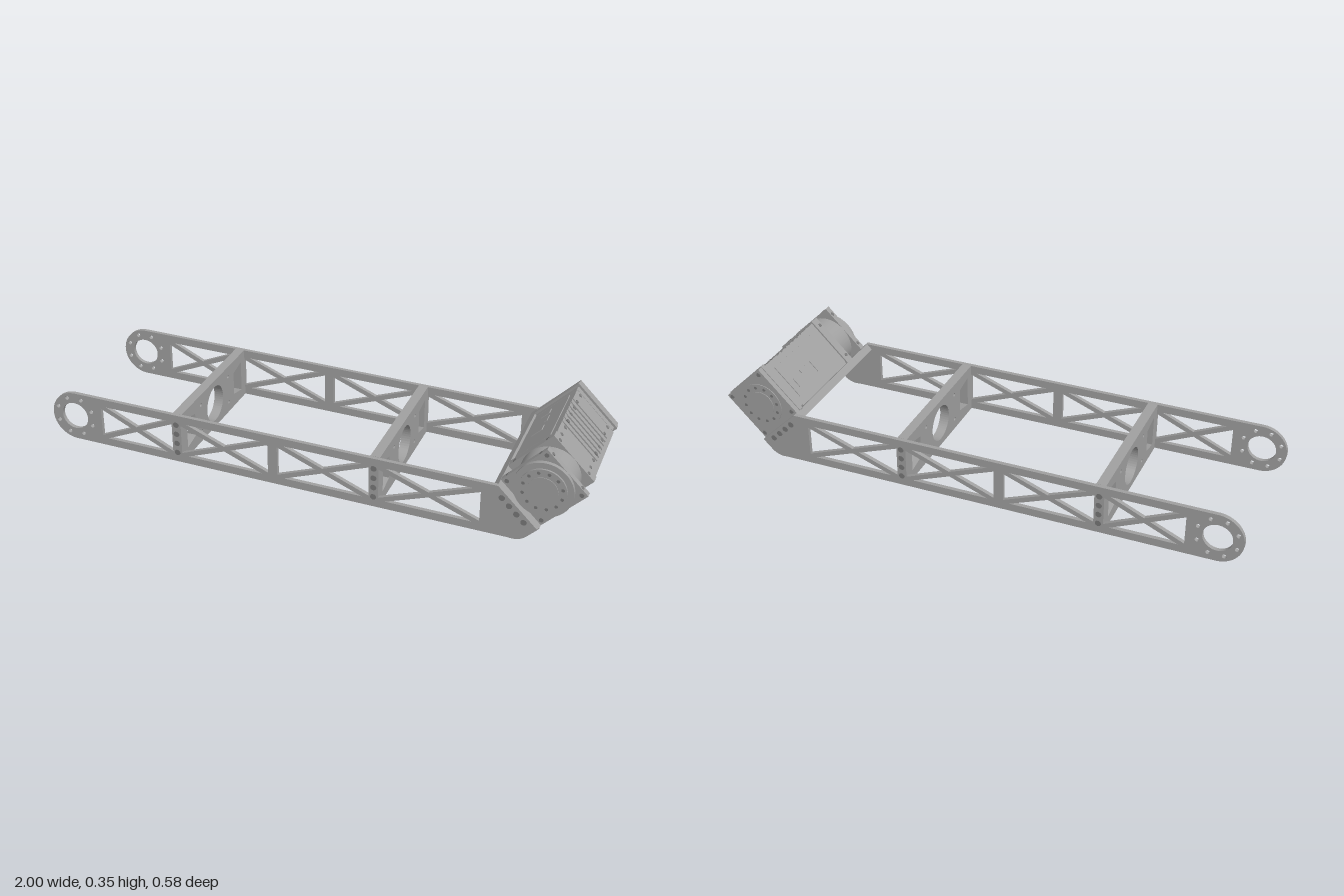
import * as THREE from 'three';

const frameMat = new THREE.MeshStandardMaterial({ color: 0xa0a0a0 });
frameMat.name = 'aluminium grey';
const screwMat = new THREE.MeshStandardMaterial({ color: 0x787878 });
screwMat.name = 'screw grey';

const PLATE_IN = 0.274, PLATE_OUT = 0.289;
const MOTOR = { x: 0.8515, y: 0.2035, half: 0.105 };
const topY = x => 0.24 - 0.0235 * (x + 0.9);
const bottomY = x => 0.05 - 0.0265 * (x + 0.92);
const posts = [-0.815, -0.49, -0.115, 0.265, 0.665];
const crossX = [-0.49, 0.265];

function add(parent, name, geometry, material = frameMat) {
  const m = new THREE.Mesh(geometry, material);
  m.name = name;
  parent.add(m);
  return m;
}

function box(parent, name, x0, x1, y0, y1, z0, z1) {
  const g = new THREE.BoxGeometry(x1 - x0, y1 - y0, z1 - z0);
  g.translate((x0 + x1) / 2, (y0 + y1) / 2, (z0 + z1) / 2);
  return add(parent, name, g);
}

// Cylinder along z between two depths
function disc(parent, name, x, y, r, z0, z1, material = frameMat, sides = 48) {
  const g = new THREE.CylinderGeometry(r, r, z1 - z0, sides);
  g.rotateX(Math.PI / 2);
  g.translate(x, y, (z0 + z1) / 2);
  return add(parent, name, g, material);
}

function circleHole(x, y, r) {
  return new THREE.Path().absarc(x, y, r, 0, Math.PI * 2, true);
}

function polygonHole(points) {
  return new THREE.Path(points.map(p => new THREE.Vector2(p[0], p[1])));
}

function extrude(shape, depth) {
  return new THREE.ExtrudeGeometry(shape, { depth, bevelEnabled: false, curveSegments: 24 });
}

// Triangle A-B-C with its two sides towards C pulled in by d
function braceTriangle(A, B, C, d) {
  const a = new THREE.Vector2(...A), b = new THREE.Vector2(...B), c = new THREE.Vector2(...C);
  const ab = b.clone().sub(a), ac = c.clone().sub(a), bc = c.clone().sub(b);
  const len = ab.length();
  const ta = d * ac.length() / Math.abs(ab.cross(ac));
  const tb = d * bc.length() / Math.abs(ab.cross(bc));
  const a2 = a.clone().addScaledVector(ab, ta), b2 = b.clone().addScaledVector(ab, -tb);
  const c2 = a2.clone().addScaledVector(ac, a2.distanceTo(b2) / len);
  return new THREE.Path([a2, b2, c2]);
}

// Side plate with bearing eye, bolt circle and X-braced windows
function sidePlateShape() {
  const s = new THREE.Shape();
  s.moveTo(-0.905, 0.05);
  s.lineTo(0.75, bottomY(0.75));
  s.quadraticCurveTo(0.785, 0.0, 0.81, 0.021);
  s.lineTo(0.848, 0.0585);
  s.lineTo(0.705, 0.2015);
  s.lineTo(-0.905, 0.24);
  s.absarc(-0.905, 0.145, 0.095, Math.PI / 2, Math.PI * 1.5, false);
  s.holes.push(circleHole(-0.908, 0.146, 0.053));
  for (let i = 0; i < 8; i++) {
    const t = (i + 0.5) * Math.PI / 4;
    s.holes.push(circleHole(-0.908 + 0.075 * Math.cos(t), 0.146 + 0.075 * Math.sin(t), 0.008));
  }
  for (let i = 0; i < 4; i++) {
    const x0 = posts[i] + 0.018, x1 = posts[i + 1] - 0.018, rail = 0.03;
    const q = [[x0, bottomY(x0) + rail], [x1, bottomY(x1) + rail], [x1, topY(x1) - rail], [x0, topY(x0) - rail]];
    const mid = [0, 1].map(k => q.reduce((sum, p) => sum + p[k] / 4, 0));
    q.forEach((p, k) => s.holes.push(braceTriangle(p, q[(k + 1) % 4], mid, 0.009)));
  }
  return s;
}

function createSidePlate(side) {
  const group = new THREE.Group();
  group.name = side > 0 ? 'frontSidePlate' : 'backSidePlate';
  const plate = add(group, 'trussPlate', extrude(sidePlateShape(), PLATE_OUT - PLATE_IN));
  plate.position.z = side > 0 ? PLATE_IN : -PLATE_OUT;
  const z0 = side > 0 ? PLATE_OUT - 0.004 : -PLATE_OUT - 0.002;
  const screw = (x, y) => disc(group, 'plateScrew', x, y, 0.011, z0, z0 + 0.006, screwMat, 20);
  for (const x of crossX) {
    const mid = (topY(x) + bottomY(x)) / 2;
    for (let i = 0; i < 4; i++) screw(x, mid + (i - 1.5) * 0.038);
  }
  for (let i = 0; i < 4; i++) screw(0.72 + i * 0.0267, 0.158 - i * 0.0267);
  return group;
}

// Cross member between the plates: round centre opening and two side windows
function createCrossMember(x) {
  const h0 = bottomY(x), h1 = topY(x), mid = (h0 + h1) / 2;
  const s = new THREE.Shape();
  s.moveTo(-PLATE_IN, h0);
  s.lineTo(PLATE_IN, h0);
  s.lineTo(PLATE_IN, h1);
  s.lineTo(-PLATE_IN, h1);
  s.closePath();
  s.holes.push(circleHole(0, mid, 0.07));
  for (const k of [-1, 1]) {
    s.holes.push(polygonHole([[k * 0.17, mid - 0.045], [k * 0.24, mid - 0.06], [k * 0.24, mid + 0.06], [k * 0.17, mid + 0.045]]));
    for (const dy of [-0.055, 0.055]) s.holes.push(circleHole(k * 0.12, mid + dy, 0.007));
  }
  const g = extrude(s, 0.036);
  g.translate(0, 0, -0.018);
  g.rotateY(Math.PI / 2);
  const m = add(new THREE.Group(), 'crossMember', g);
  m.position.x = x;
  return m;
}

// Square slab along z with small corner radius
function squareSlab(parent, name, half, r, z0, z1) {
  const s = new THREE.Shape(), c = half - r;
  [[c, c], [-c, c], [-c, -c], [c, -c]].forEach(([x, y], i) =>
    s.absarc(x, y, r, i * Math.PI / 2, (i + 1) * Math.PI / 2, false));
  const g = new THREE.ExtrudeGeometry(s, { depth: z1 - z0, bevelEnabled: false, curveSegments: 4 });
  g.translate(0, 0, z0);
  return add(parent, name, g);
}

// Motor built upright, then turned 45 degrees about its z axis
function createMotor() {
  const m = new THREE.Group();
  m.name = 'motor';
  const H = MOTOR.half;
  squareSlab(m, 'frontFlange', H, 0.001, 0.227, 0.25);
  squareSlab(m, 'middleFlange', H, 0.001, 0.118, 0.153);
  squareSlab(m, 'motorBody', 0.09, 0.002, -0.208, 0.118);
  squareSlab(m, 'endCap', 0.1, 0.004, -0.232, -0.208);
  squareSlab(m, 'endBand', 0.108, 0.005, -0.25, -0.232);
  squareSlab(m, 'rearFlange', H, 0.001, -0.27, -0.25);
  disc(m, 'gearHousing', 0, 0, 0.1045, 0.153, 0.265);
  disc(m, 'outputRing', 0, 0, 0.083, 0.26, 0.272);
  disc(m, 'outputHub', 0, 0, 0.053, 0.27, 0.2745);
  disc(m, 'rearRing', 0, 0, 0.085, -0.273, -0.268);
  disc(m, 'rearHub', 0, 0, 0.053, -0.2755, -0.27);

  // Cooling ribs on the outer face
  box(m, 'finnedCover', 0.088, 0.099, -0.099, 0.099, 0.035, 0.118);
  box(m, 'finnedCover', 0.088, 0.099, -0.099, 0.099, -0.208, -0.14);
  for (let i = 0; i < 6; i++) {
    const z = 0.0175 - i * 0.028;
    box(m, 'coolingRib', 0.088, 0.099, -0.099, 0.099, z - 0.009, z + 0.009);
  }
  // Cover panels on the remaining faces
  box(m, 'lowerCover', -0.085, 0.099, -0.105, -0.088, -0.208, 0.128);
  box(m, 'upperCover', -0.096, 0.096, 0.088, 0.099, -0.208, 0.118);
  box(m, 'upperPanel', -0.07, 0.07, 0.098, 0.102, -0.195, 0.105);
  box(m, 'mountCover', -0.104, -0.088, -0.096, 0.096, -0.208, 0.118);
  for (const [x, z, w, d] of [[-0.025, -0.15, 0.04, 0.03], [-0.005, -0.09, 0.015, 0.04], [-0.025, -0.02, 0.05, 0.035]]) {
    box(m, 'connector', x - w / 2, x + w / 2, 0.1, 0.105, z - d / 2, z + d / 2);
  }

  // Screws on the flange edges, along the finned cover and around both end rings
  const sideScrew = (turn, depth, offset, z) => {
    const g = new THREE.CylinderGeometry(0.007, 0.007, 0.005, 16);
    g.rotateZ(Math.PI / 2);
    g.translate(depth - 0.0015, offset, z);
    g.rotateZ(turn * Math.PI / 2);
    add(m, 'caseScrew', g, screwMat);
  };
  for (const o of [-0.073, 0.078]) {
    for (const turn of [0, 1, 3]) for (const z of [0.238, 0.141]) sideScrew(turn, H, o, z);
    for (let i = 0; i < 7; i++) sideScrew(0, 0.099, o, 0.094 - i * 0.0484);
  }
  for (let i = 0; i < 12; i++) {
    const t = i * Math.PI / 6, x = 0.07 * Math.cos(t), y = 0.07 * Math.sin(t);
    disc(m, 'ringScrew', x, y, 0.006, 0.27, 0.274, screwMat, 12);
    disc(m, 'ringScrew', x, y, 0.006, -0.275, -0.272, screwMat, 12);
  }
  for (const x of [-0.09, 0.09]) for (const y of [-0.09, 0.09]) {
    disc(m, 'cornerScrew', x, y, 0.008, 0.248, 0.253, screwMat, 12);
    disc(m, 'cornerScrew', x, y, 0.008, -0.273, -0.268, screwMat, 12);
  }

  // Mounting plate that ties the motor to both side plates
  box(m, 'motorMount', -0.135, -H, -H, H, -PLATE_IN, PLATE_IN);
  m.rotation.z = Math.PI / 4;
  m.position.set(MOTOR.x, MOTOR.y, 0);
  return m;
}

export function createModel() {
  const model = new THREE.Group();
  model.name = 'motorisedArmFrame';
  model.add(createSidePlate(1), createSidePlate(-1));
  for (const x of crossX) model.add(createCrossMember(x));
  model.add(createMotor());
  return model;
}
